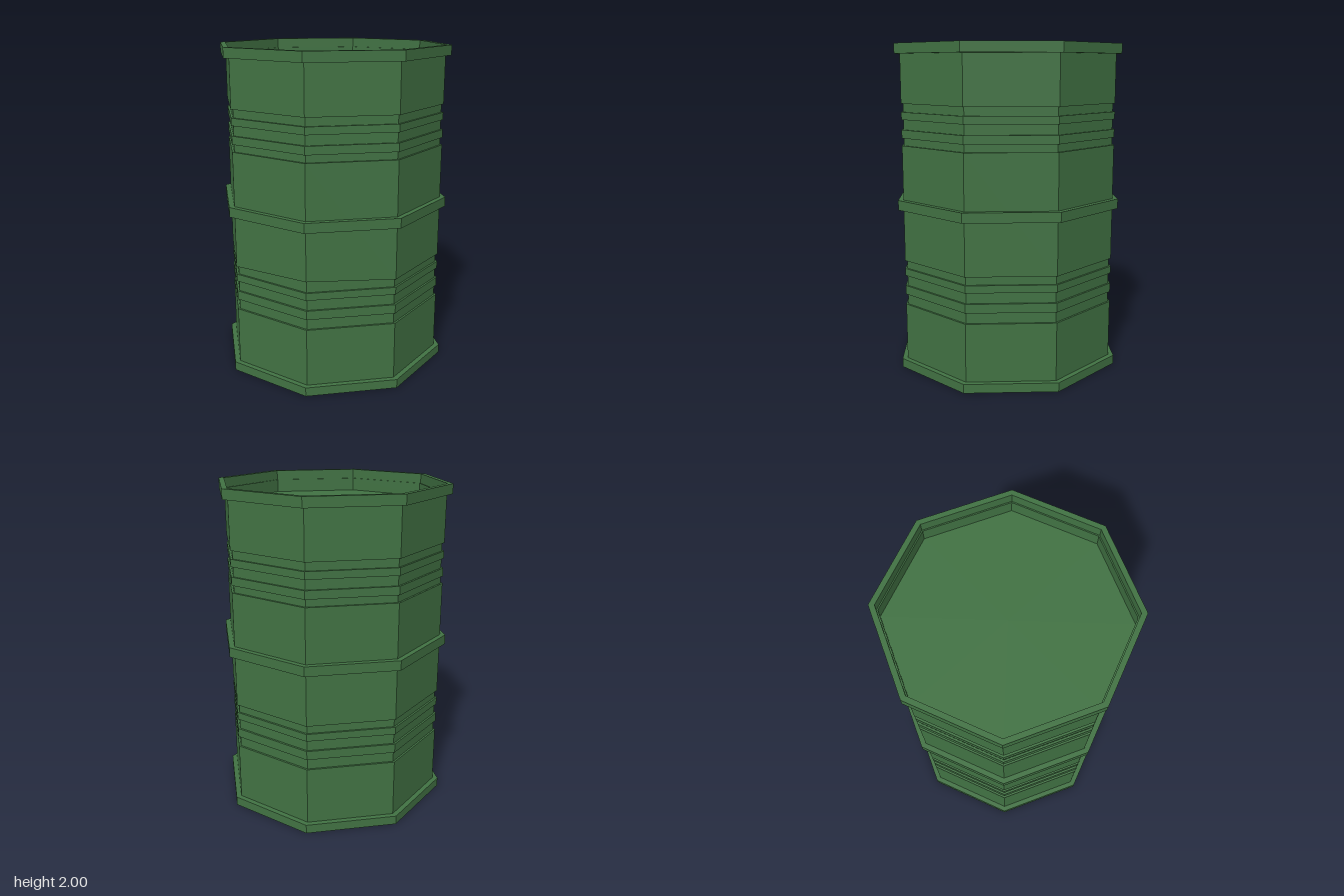
import * as THREE from 'three';

const SIDES = 8;
const TURN = THREE.MathUtils.degToRad(31.8); // the octagon is slightly rotated
const HOOP = 0.724, BODY = 0.69, GROOVE = 0.677;

export function createModel() {
  const group = new THREE.Group();
  const material = new THREE.MeshStandardMaterial({ color: 0x417243, flatShading: true });

  // Turn a [radius, height] profile into an eight-sided part
  function turned(name, profile) {
    const points = profile.map(([r, y]) => new THREE.Vector2(r, y));
    const mesh = new THREE.Mesh(new THREE.LatheGeometry(points, SIDES, TURN, Math.PI * 2), material);
    mesh.name = name;
    group.add(mesh);
    return mesh;
  }

  // Barrel wall: two bands of three grooves separated by ridges
  const grooves = [
    [0.41, 0.475], [0.53, 0.595], [0.64, 0.69],
    [1.40, 1.445], [1.495, 1.555], [1.60, 1.65],
  ];
  const wall = [[BODY, 0.055]];
  for (const [low, high] of grooves) {
    wall.push([BODY, low], [GROOVE, low], [GROOVE, high], [BODY, high]);
  }
  wall.push([BODY, 1.94]);
  const body = turned('barrelBody', wall);

  // Small dent: one corner of the lower band's top edge is pushed up
  const pos = body.geometry.attributes.position;
  for (let i = 0; i < pos.count; i++) {
    const nearCorner = Math.hypot(pos.getX(i) + 0.58, pos.getZ(i) - 0.36) < 0.1;
    if (nearCorner && Math.abs(pos.getY(i) - 0.69) < 0.001) pos.setY(i, 0.71);
  }

  // Hoops around the barrel; the bottom one is closed by the base
  turned('bottomHoop', [[0, 0], [HOOP, 0], [HOOP, 0.055], [BODY, 0.055]]);
  turned('middleHoop', [[BODY, 1.01], [HOOP, 1.01], [HOOP, 1.07], [BODY, 1.07]]);
  turned('topHoop', [[BODY, 1.94], [HOOP, 1.94], [HOOP, 2], [BODY, 2], [BODY, 1.94]]);

  // Sunken lid with a narrow ledge under the rim
  turned('lid', [[BODY, 1.94], [0.682, 1.94], [0.682, 1.86], [0, 1.86]]);

  return group;
}
